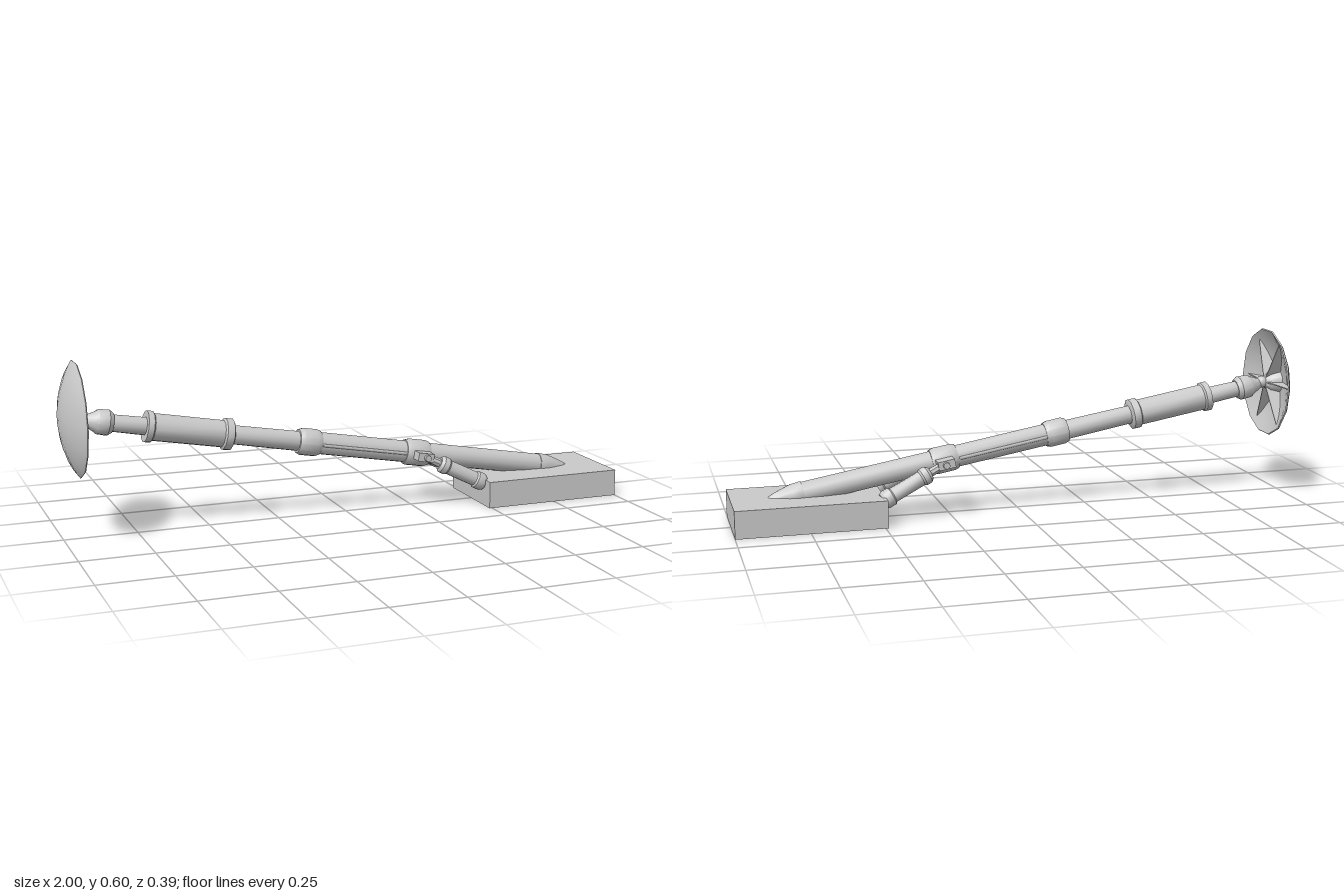
import * as THREE from 'three';
import { toCreasedNormals } from 'three/addons/utils/BufferGeometryUtils.js';

export function createModel() {
  const root = new THREE.Group();
  const grey = new THREE.MeshStandardMaterial({ color: 0xcacaca });
  grey.name = 'light grey';
  const greyThin = grey;
  greyThin.side = THREE.DoubleSide;

  const add = (parent, name, geo) => {
    const mesh = new THREE.Mesh(geo, grey);
    mesh.name = name;
    parent.add(mesh);
    return mesh;
  };
  // Turned part: profile of [radius, distance along y]
  const turned = (parent, name, profile, sides = 12) =>
    add(parent, name, toCreasedNormals(
      new THREE.LatheGeometry(profile.map(([r, y]) => new THREE.Vector2(r, y)), sides), 0.6));
  // Group whose local +y points from a to b
  const along = (name, a, b) => {
    const g = new THREE.Group();
    g.name = name;
    g.position.copy(a);
    g.quaternion.setFromUnitVectors(new THREE.Vector3(0, 1, 0), b.clone().sub(a).normalize());
    root.add(g);
    return g;
  };

  // Mounting block
  add(root, 'mountingBlock', new THREE.BoxGeometry(0.51, 0.095, 0.308)).position.set(0.745, 0.0475, 0);

  // Main leg: stations are given as x positions along the sloping axis
  const slope = -0.177, stretch = Math.hypot(1, slope);
  const leg = along('leg', new THREE.Vector3(0, 0.237, 0), new THREE.Vector3(1, 0.237 + slope, 0));
  const section = (name, stations) => turned(leg, name, stations.map(([x, r]) => [r, x * stretch]));
  section('ankleJoint', [[-0.925, 0], [-0.925, 0.014], [-0.885, 0.034], [-0.875, 0.042], [-0.84, 0.044], [-0.825, 0.034], [-0.825, 0]]);
  section('ankleRod', [[-0.83, 0.029], [-0.7, 0.031]]);
  section('outerSleeve', [[-0.715, 0], [-0.715, 0.054], [-0.695, 0.054], [-0.69, 0.047], [-0.45, 0.047],
    [-0.445, 0.055], [-0.42, 0.055], [-0.415, 0.045], [-0.415, 0]]);
  section('innerRod', [[-0.43, 0.033], [-0.16, 0.035]]);
  section('middleCollar', [[-0.18, 0], [-0.18, 0.042], [-0.165, 0.048], [-0.115, 0.048], [-0.1, 0.042], [-0.1, 0]]);
  section('mainTube', [[-0.11, 0.039], [0.77, 0.039]]);
  section('strutCollar', [[0.22, 0], [0.22, 0.043], [0.235, 0.048], [0.295, 0.048], [0.31, 0.043], [0.31, 0]]);
  section('endCone', [[0.755, 0], [0.755, 0.042], [0.79, 0.04], [0.85, 0.023], [0.905, 0]]);

  // Conduits along the flanks of the main tube
  for (const s of [-1, 1]) {
    const pipe = add(leg, 'conduit', new THREE.CylinderGeometry(0.006, 0.006, 0.32, 6));
    pipe.position.set(0, 0.06, s * 0.038);
  }

  // Foot dish, opening toward +x
  const foot = along('foot', new THREE.Vector3(-1, 0.405, 0), new THREE.Vector3(0, 0.405, 0));
  turned(foot, 'dish', [[0, 0], [0.05, 0.003], [0.1, 0.013], [0.15, 0.031], [0.18, 0.046], [0.195, 0.056],
    [0.192, 0.06], [0.182, 0.055], [0.15, 0.037], [0.1, 0.02], [0.05, 0.01], [0, 0.008]], 14);
  turned(foot, 'dishHub', [[0.045, 0.008], [0.034, 0.045], [0.018, 0.066], [0, 0.068]]);
  add(foot, 'ankleBall', new THREE.SphereGeometry(0.022, 12, 8)).position.y = 0.073;

  // Six radial gussets inside the dish
  const finShape = new THREE.Shape([[0.01, 0.01], [0.05, 0.01], [0.1, 0.018], [0.172, 0.049], [0.035, 0.06], [0.01, 0.063]]
    .map(([x, y]) => new THREE.Vector2(x, y)));
  const finGeo = new THREE.ExtrudeGeometry(finShape, { depth: 0.004, bevelEnabled: false });
  finGeo.translate(0, 0, -0.002);
  for (let i = 0; i < 6; i++) add(foot, 'gusset', finGeo).rotation.y = Math.PI / 2 + i * Math.PI / 3;

  // Side struts with lugs, mirrored in z
  for (const s of [-1, 1]) {
    const top = new THREE.Vector3(0.275, 0.188, s * 0.066);
    const end = new THREE.Vector3(0.492, 0.08, s * 0.088);
    const lug = add(root, 'strutLug', new THREE.BoxGeometry(0.06, 0.03, 0.05));
    lug.position.set(0.272, 0.189, s * 0.062);
    lug.rotation.z = Math.atan(slope);
    const pin = add(root, 'strutPin', new THREE.CylinderGeometry(0.012, 0.012, 0.066, 8));
    pin.position.copy(top);
    pin.rotation.x = Math.PI / 2;

    const strut = along('strut', top, end);
    const len = top.distanceTo(end);
    turned(strut, 'strutNeck', [[0, 0], [0.014, 0], [0.016, 0.07], [0.016, 0.1]], 8);
    turned(strut, 'strutBody', [[0, 0.06], [0.022, 0.06], [0.031, 0.07], [0.031, 0.09], [0.026, 0.097],
      [0.026, len - 0.035], [0.032, len - 0.03], [0.032, len - 0.005], [0.026, len + 0.005], [0, len + 0.005]]);
  }

  return root;
}
